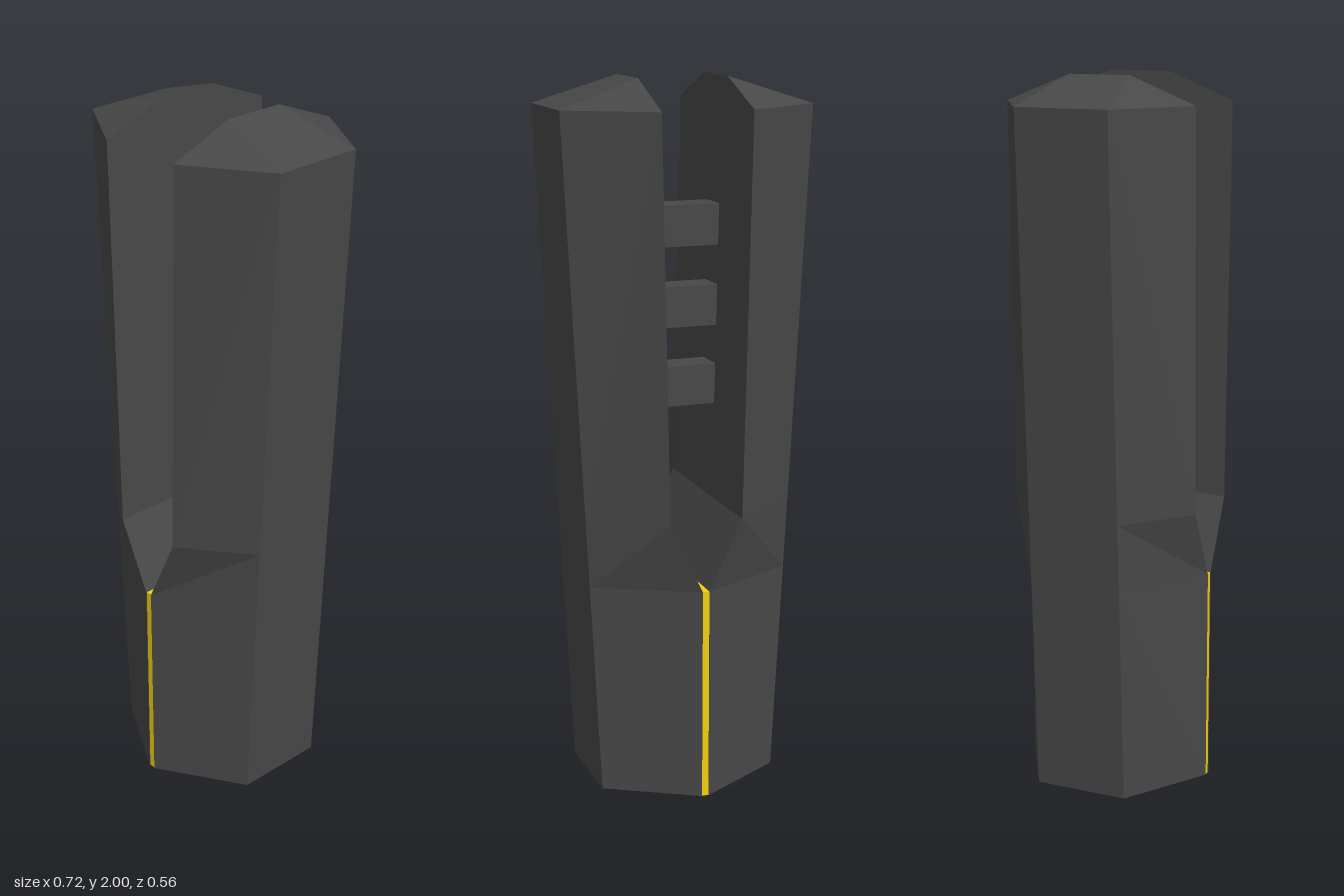
import * as THREE from 'three';

const DARK = new THREE.MeshStandardMaterial({ color: 0x484848, flatShading: true });
const YELLOW = new THREE.MeshStandardMaterial({ color: 0xf0d010, flatShading: true });

const SEAM = 0.01, DEPTH = 0.28, OUTER_Z = 0.135, EAVE = 1.925, TOP = 2, RIDGE_Z = 0.09;

// Half tower: four-cornered sections stacked upward, closed by a faceted roof.
function towerGeometry(side) {
  const pos = [];
  const tri = (a, b, c) => {
    for (const p of side > 0 ? [a, b, c] : [a, c, b]) pos.push(p[0] * side, p[1], p[2]);
  };
  const quad = (a, b, c, d) => { tri(a, b, c); tri(a, c, d); };

  // [height, inner x]; the outer wall leans steadily outward
  const levels = [[0, SEAM], [0.61, SEAM], [0.81, 0.105], [EAVE, 0.128]];
  const rings = levels.map(([y, inner]) => {
    const outer = 0.26 + 0.1 * y / EAVE;
    return [[inner, y, DEPTH], [outer, y, OUTER_Z], [outer, y, -OUTER_Z], [inner, y, -DEPTH]];
  });

  // Walls
  for (let i = 0; i < rings.length - 1; i++) {
    for (let j = 0; j < 4; j++) {
      const k = (j + 1) % 4;
      quad(rings[i][j], rings[i][k], rings[i + 1][k], rings[i + 1][j]);
    }
  }

  // Base
  const [a, b, c, d] = rings[0];
  quad(a, d, c, b);

  // Roof, rising to a short ridge on the inner wall
  const [A, B, C, D] = rings[rings.length - 1];
  const P = [A[0], TOP, RIDGE_Z], Q = [A[0], TOP, -RIDGE_Z], M = [B[0], EAVE, 0];
  tri(A, B, P);
  tri(B, M, P);
  tri(M, Q, P);
  tri(M, C, Q);
  tri(C, D, Q);
  quad(D, A, P, Q);

  const geo = new THREE.BufferGeometry();
  geo.setAttribute('position', new THREE.Float32BufferAttribute(pos, 3));
  geo.computeVertexNormals();
  return geo;
}

export function createModel() {
  const model = new THREE.Group();
  model.name = 'twinTower';

  const add = (name, geometry, material, y = 0) => {
    const mesh = new THREE.Mesh(geometry, material);
    mesh.name = name;
    mesh.position.y = y;
    model.add(mesh);
  };

  add('leftTower', towerGeometry(1), DARK);
  add('rightTower', towerGeometry(-1), DARK);

  // Bright seam between the joined lower halves
  add('seamStrip', new THREE.BoxGeometry(2 * SEAM, 0.61, 2 * DEPTH - 0.004), YELLOW, 0.305);

  // Bridges across the gap
  [1.143, 1.368, 1.594].forEach((y, i) =>
    add(`bridge${i + 1}`, new THREE.BoxGeometry(0.244, 0.115, 0.09), DARK, y));

  return model;
}
